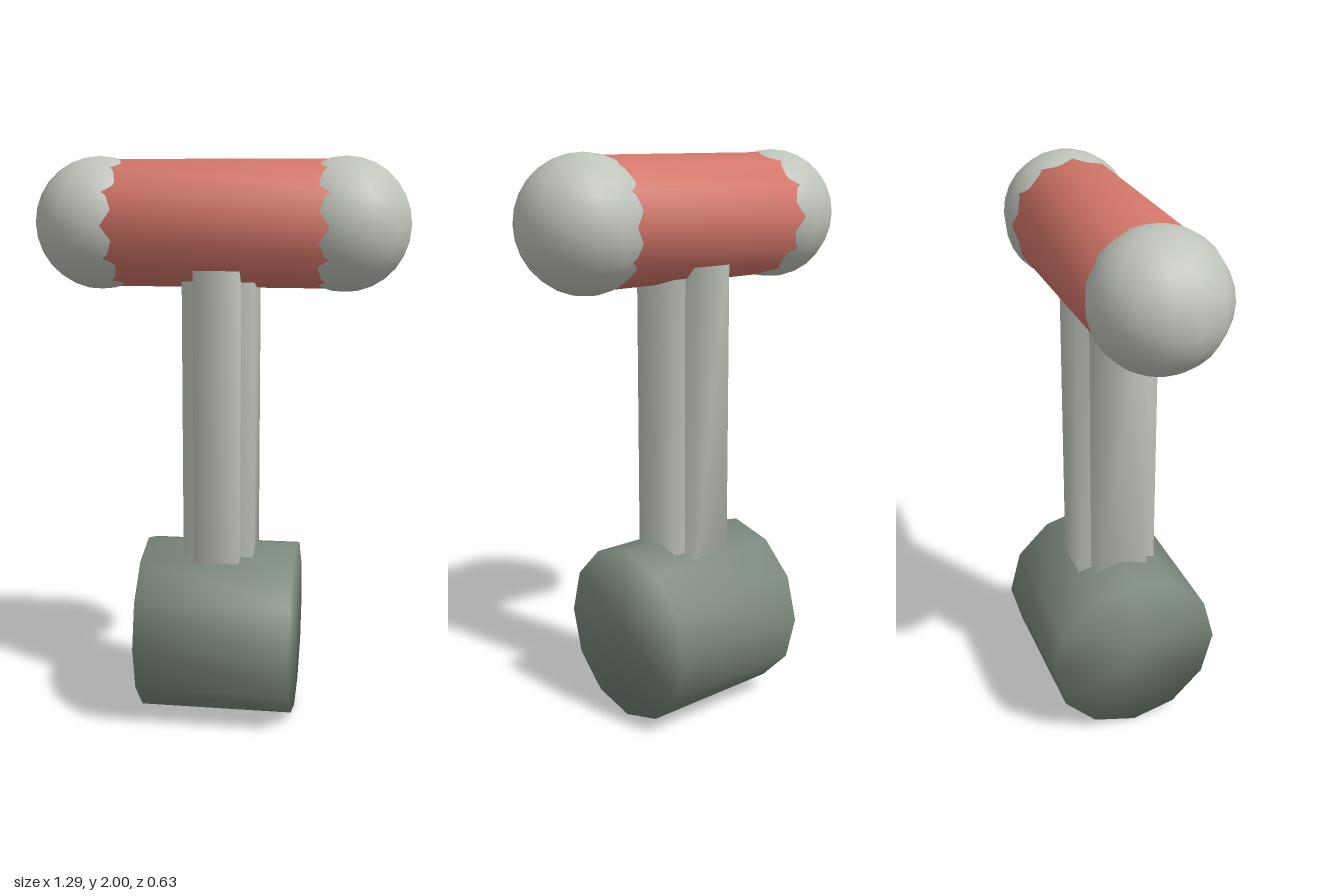
import * as THREE from 'three';
import { mergeVertices } from 'three/addons/utils/BufferGeometryUtils.js';

const paint = (name, color) => {
  const m = new THREE.MeshStandardMaterial({ color });
  m.name = name;
  return m;
};

// Weld all corners so shading flows smoothly across the edges
function soften(geometry) {
  geometry.deleteAttribute('normal');
  geometry.deleteAttribute('uv');
  const welded = mergeVertices(geometry, 1e-4);
  welded.computeVertexNormals();
  return welded;
}

export function createModel() {
  const group = new THREE.Group();
  const red = paint('coral red', 0xd4776a);
  const pale = paint('pale grey', 0xbfc4bb);
  const dark = paint('dark grey green', 0x7b887d);

  const add = (name, geometry, material, x, y) => {
    const mesh = new THREE.Mesh(soften(geometry), material);
    mesh.name = name;
    mesh.position.set(x, y, 0);
    group.add(mesh);
  };

  // Twelve-sided drum lying along x
  const drum = (radius, length) =>
    new THREE.CylinderGeometry(radius, radius, length, 12).rotateZ(Math.PI / 2);

  add('base', drum(0.315, 0.545), dark, 0, 0.315);
  add('crossbar', drum(0.218, 0.85), red, 0, 1.772);

  // Post made of two crossed bars
  add('postDeepBar', new THREE.BoxGeometry(0.16, 1.26, 0.294), pale, 0, 1.1);
  add('postWideBar', new THREE.BoxGeometry(0.25, 1.26, 0.2), pale, 0, 1.1);

  // Round end caps on the crossbar
  for (const [name, side] of [['leftKnob', 1], ['rightKnob', -1]]) {
    const ball = new THREE.SphereGeometry(0.228, 14, 14).rotateY(Math.PI / 2);
    add(name, ball, pale, side * 0.425, 1.772);
  }
  return group;
}
